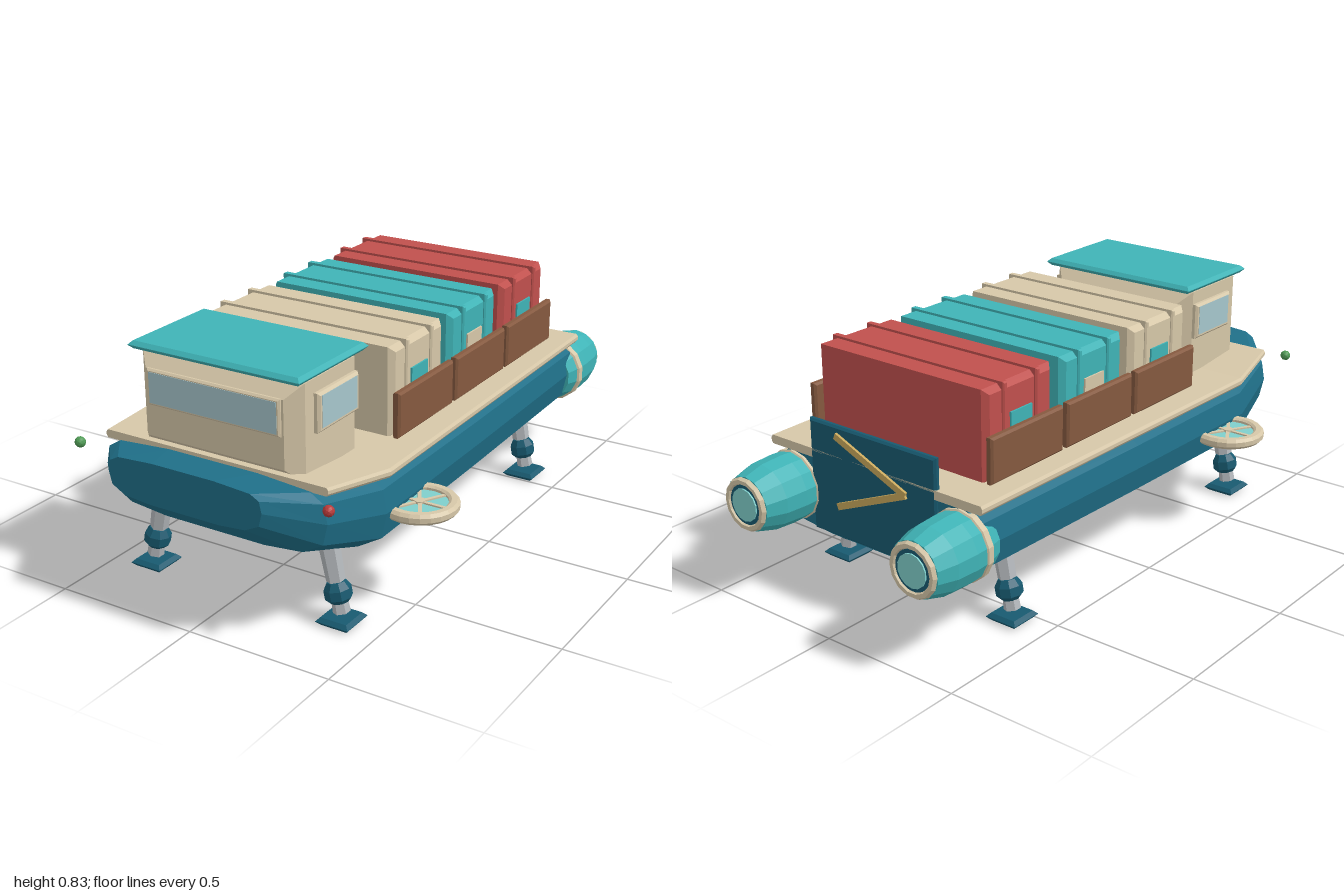
import * as THREE from 'three';

const mat = (color, side = THREE.FrontSide) =>
  new THREE.MeshStandardMaterial({ color, flatShading: true, side });
const HULL = mat(0x1f6f88), DARK = mat(0x185a70), TEAL = mat(0x3fb3b6), SAND = mat(0xd6c7a8),
  RED = mat(0xc0504d), BROWN = mat(0x85593f), GLASS = mat(0xa6c6cc), STEEL = mat(0xb4b8bc),
  GOLD = mat(0xc9a85c), GLOW = mat(0x7fcfcb), GREEN = mat(0x4f9a55), LAMP = mat(0xb83a3a);

function add(parent, name, geometry, material, x = 0, y = 0, z = 0) {
  const m = new THREE.Mesh(geometry, material);
  m.name = name;
  m.position.set(x, y, z);
  parent.add(m);
  return m;
}

// Box with mitred bevels on its two z ends, centred on the origin
function bevelBox(w, h, d, b) {
  const x = w / 2 - b, y = h / 2 - b;
  const s = new THREE.Shape([[-x, -y], [x, -y], [x, y], [-x, y]].map(p => new THREE.Vector2(...p)));
  const depth = d - 2 * b;
  return new THREE.ExtrudeGeometry(s, {
    depth, bevelEnabled: true, bevelSize: b, bevelThickness: b, bevelSegments: 1,
  }).translate(0, 0, -depth / 2);
}
// Same, with the bevel axis along y or x
const bevelPlate = (w, h, d, b) => bevelBox(w, d, h, b).rotateX(Math.PI / 2);
const bevelSide = (w, h, d, b) => bevelBox(d, h, w, b).rotateY(Math.PI / 2);

// Loft a mirrored half section (width, height fractions) through [z, halfWidth, bottom, top]
function loft(half, stations) {
  const mirrored = half.filter(p => p[0] > 0).map(([u, v]) => [-u, v]).reverse();
  const section = [...half, ...mirrored], n = section.length;
  const rings = stations.map(([z, w, b, t]) => section.map(([u, v]) => [u * w, b + v * (t - b), z]));
  const pos = [];
  const tri = (...pts) => pts.forEach(p => pos.push(...p));
  for (let s = 0; s < rings.length - 1; s++) {
    for (let i = 0; i < n; i++) {
      const j = (i + 1) % n, A = rings[s], B = rings[s + 1];
      tri(A[i], A[j], B[j]);
      tri(A[i], B[j], B[i]);
    }
  }
  const back = rings[0], front = rings[rings.length - 1];
  for (let i = 1; i < n - 1; i++) {
    tri(front[0], front[i], front[i + 1]);
    tri(back[0], back[i + 1], back[i]);
  }
  const g = new THREE.BufferGeometry();
  g.setAttribute('position', new THREE.Float32BufferAttribute(pos, 3));
  g.computeVertexNormals();
  return g;
}

function cabin() {
  const g = new THREE.Group();
  g.name = 'cabin';
  add(g, 'cabinBody', bevelBox(0.59, 0.31, 0.355, 0.045), SAND, 0, 0.645, 0.6625);
  add(g, 'roof', bevelPlate(0.62, 0.026, 0.372, 0.012), TEAL, 0, 0.818, 0.66);
  add(g, 'frontWindowFrame', bevelBox(0.485, 0.118, 0.02, 0.006), SAND, 0, 0.698, 0.84);
  add(g, 'frontWindow', new THREE.BoxGeometry(0.465, 0.1, 0.02), GLASS, 0, 0.698, 0.8415);
  for (const s of [-1, 1]) {
    add(g, 'sideWindowFrame', bevelSide(0.034, 0.125, 0.22, 0.008), SAND, s * 0.297, 0.693, 0.64);
    add(g, 'sideWindow', new THREE.BoxGeometry(0.034, 0.102, 0.19), GLASS, s * 0.2985, 0.696, 0.64);
  }
  return g;
}

function container(color, labelColor, z) {
  const g = new THREE.Group();
  g.name = 'cargoContainer';
  add(g, 'containerBody', bevelSide(0.7, 0.3, 0.32, 0.018), color, 0, 0.643, 0);
  for (const s of [-1, 1]) {
    add(g, 'containerBand', bevelSide(0.716, 0.312, 0.02, 0.005), color, 0, 0.645, s * 0.077);
    add(g, 'containerLabel', new THREE.BoxGeometry(0.012, 0.09, 0.1), labelColor, s * 0.35, 0.65, 0);
    add(g, 'cargoWall', bevelSide(0.028, 0.15, 0.346, 0.007), BROWN, s * 0.37, 0.58, 0);
  }
  g.position.z = z;
  return g;
}

function engine(x) {
  const g = new THREE.Group();
  g.name = 'engine';
  const lathe = pts => new THREE.LatheGeometry(pts.map(p => new THREE.Vector2(...p)), 14)
    .rotateX(-Math.PI / 2);
  // Profile runs from front to exhaust
  add(g, 'engineShell', lathe([[0, 0], [0.095, 0], [0.112, 0.06], [0.115, 0.12], [0.111, 0.2],
    [0.092, 0.27], [0.065, 0.27]]), TEAL);
  add(g, 'engineBand', lathe([[0.108, 0.048], [0.116, 0.052], [0.118, 0.075], [0.11, 0.08]]), SAND);
  add(g, 'exhaustRing', new THREE.TorusGeometry(0.078, 0.013, 6, 14), SAND, 0, 0, -0.273);
  add(g, 'exhaustInner', new THREE.CylinderGeometry(0.068, 0.068, 0.02, 14).rotateX(Math.PI / 2),
    DARK, 0, 0, -0.268);
  add(g, 'exhaustGlow', new THREE.CylinderGeometry(0.055, 0.055, 0.02, 14).rotateX(Math.PI / 2),
    GLOW, 0, 0, -0.273);
  g.position.set(x, 0.347, -0.715);
  return g;
}

function leg(s, z) {
  const g = new THREE.Group();
  g.name = 'landingLeg';
  const strut = new THREE.Group();
  strut.name = 'legStrut';
  add(strut, 'upperStrut', new THREE.CylinderGeometry(0.034, 0.03, 0.14, 6), STEEL, 0, 0.175, 0);
  add(strut, 'lowerStrut', new THREE.CylinderGeometry(0.024, 0.028, 0.08, 6), STEEL, 0, 0.04, 0);
  const joint = [[0, 0.035], [0.03, 0.035], [0.044, 0.05], [0.044, 0.08], [0.03, 0.103], [0, 0.103]];
  add(strut, 'legJoint', new THREE.LatheGeometry(joint.map(p => new THREE.Vector2(...p)), 8), DARK);
  strut.position.set(0.362, 0.04, 0);
  strut.rotation.z = 0.2;
  g.add(strut);
  add(g, 'footPad', bevelPlate(0.116, 0.026, 0.116, 0.012), DARK, 0.36, 0.015, 0);
  g.rotation.y = s < 0 ? Math.PI : 0;
  g.position.z = z;
  return g;
}

function sideRotor(s) {
  const g = new THREE.Group();
  g.name = 'sideRotor';
  const rim = [[0.09, -0.012], [0.098, -0.018], [0.116, -0.018], [0.125, -0.008], [0.125, 0.008],
    [0.116, 0.018], [0.098, 0.018], [0.09, 0.012], [0.09, -0.012]];
  add(g, 'rotorRim', new THREE.LatheGeometry(rim.map(p => new THREE.Vector2(...p)), 24), SAND);
  add(g, 'rotorDisc', new THREE.CylinderGeometry(0.092, 0.092, 0.008, 24), GLOW);
  add(g, 'rotorHub', new THREE.CylinderGeometry(0.018, 0.018, 0.024, 10), SAND);
  for (let i = 0; i < 3; i++) {
    add(g, 'rotorSpoke', new THREE.BoxGeometry(0.19, 0.018, 0.012), SAND).rotation.y = i * Math.PI / 3;
  }
  g.position.set(s * 0.495, 0.342, 0.475);
  return g;
}

export function createModel() {
  const model = new THREE.Group();
  model.name = 'cargoHauler';

  // Hull and the deck that bends up towards the bow
  const hullHalf = [[0.45, 0], [0.78, 0.06], [0.96, 0.24], [1, 0.55], [0.97, 0.82], [0.86, 0.94], [0.4, 1]];
  add(model, 'hull', loft(hullHalf, [
    [-0.78, 0.44, 0.215, 0.478], [0, 0.455, 0.207, 0.48], [0.62, 0.465, 0.205, 0.485],
    [0.86, 0.41, 0.285, 0.513], [1, 0.28, 0.395, 0.532]]), HULL);
  const deckHalf = [[0.985, 0], [1, 0.3], [1, 0.7], [0.985, 1]];
  add(model, 'deck', loft(deckHalf, [
    [-0.79, 0.445, 0.468, 0.498], [0.6, 0.468, 0.47, 0.5], [0.855, 0.41, 0.497, 0.524]]), SAND);

  model.add(cabin());
  model.add(container(SAND, TEAL, 0.238), container(TEAL, SAND, -0.13), container(RED, TEAL, -0.498));

  // Stern gate with its chevron strips
  add(model, 'sternGate', bevelBox(0.53, 0.38, 0.024, 0.007), DARK, 0, 0.41, -0.778);
  for (const s of [-1, 1]) {
    const bar = add(model, 'gateStrip', new THREE.BoxGeometry(0.315, 0.022, 0.012), GOLD,
      0, 0.45 + s * 0.06, -0.793);
    bar.rotation.z = s * Math.atan2(0.12, 0.29);
  }

  for (const s of [-1, 1]) {
    model.add(engine(s * 0.355), sideRotor(s), leg(s, 0.712), leg(s, -0.555));
    add(model, 'navigationLight', new THREE.IcosahedronGeometry(0.018, 1), s < 0 ? GREEN : LAMP,
      s * 0.457, 0.495, 0.925);
  }
  return model;
}
